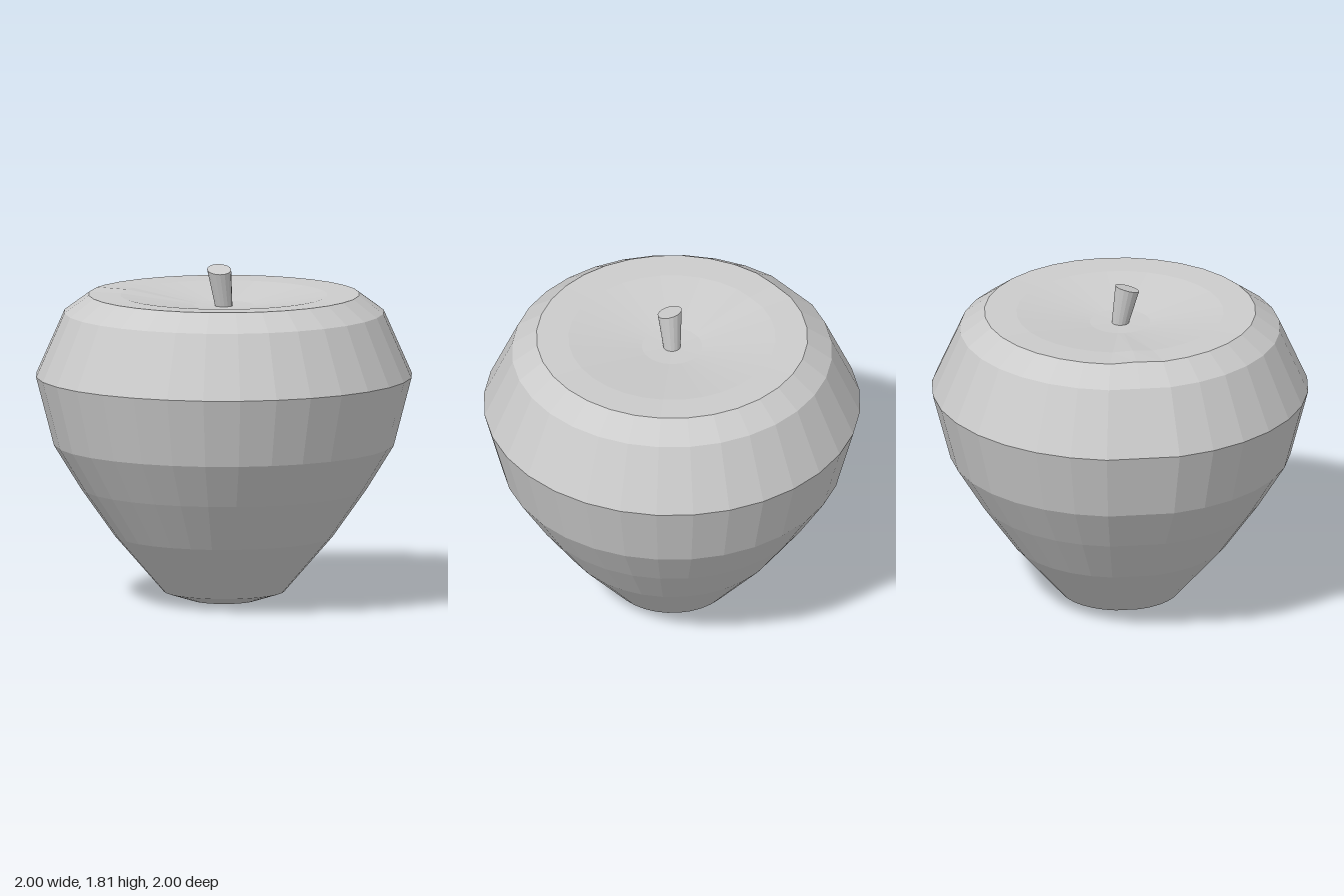
import * as THREE from 'three';

const SIDES = 32;
const material = new THREE.MeshStandardMaterial({ color: 0xcccccc, flatShading: true });

// Turned band of the fruit, with one column of corners pressed in to a flat spot.
function band(name, profile) {
  const geo = new THREE.LatheGeometry(profile.map(([r, y]) => new THREE.Vector2(r, y)), SIDES);
  const pos = geo.attributes.position;
  const dentColumn = 26;
  const press = Math.cos(Math.PI * 2 / SIDES);
  profile.forEach(([r, y], j) => {
    const i = dentColumn * profile.length + j;
    const lift = y > 1.64 ? 0.006 : 0;
    pos.setXYZ(i, pos.getX(i) * press, y + lift, pos.getZ(i) * press);
  });
  geo.computeVertexNormals();
  const mesh = new THREE.Mesh(geo, material);
  mesh.name = name;
  return mesh;
}

// Leaning stem, wider at its slanted top.
function makeStem() {
  const bottom = 1.58, top = 1.79, height = top - bottom;
  const geo = new THREE.CylinderGeometry(0.064, 0.045, height, 16);
  geo.translate(0, height / 2, 0);
  const pos = geo.attributes.position;
  for (let i = 0; i < pos.count; i++) {
    const x = pos.getX(i), y = pos.getY(i), z = pos.getZ(i);
    const t = y / height;
    pos.setXYZ(i, x, bottom + y - t * 0.22 * (x + z), z + 0.04 * t);
  }
  geo.computeVertexNormals();
  const mesh = new THREE.Mesh(geo, material);
  mesh.name = 'stem';
  return mesh;
}

export function createModel() {
  const group = new THREE.Group();
  group.name = 'apple';
  group.add(
    // Base and tapering lower half
    band('lowerBody', [[0, 0], [0.17, 0.018], [0.32, 0.065], [0.58, 0.365],
      [0.76, 0.62], [0.905, 0.855], [1, 1.22]]),
    // Shoulder above the widest line
    band('shoulder', [[1, 1.22], [0.85, 1.56], [0.72, 1.655]]),
    // Flat rim and shallow hollow around the stem
    band('topHollow', [[0.72, 1.655], [0.55, 1.65], [0.16, 1.595], [0, 1.59]]),
    makeStem()
  );
  return group;
}
